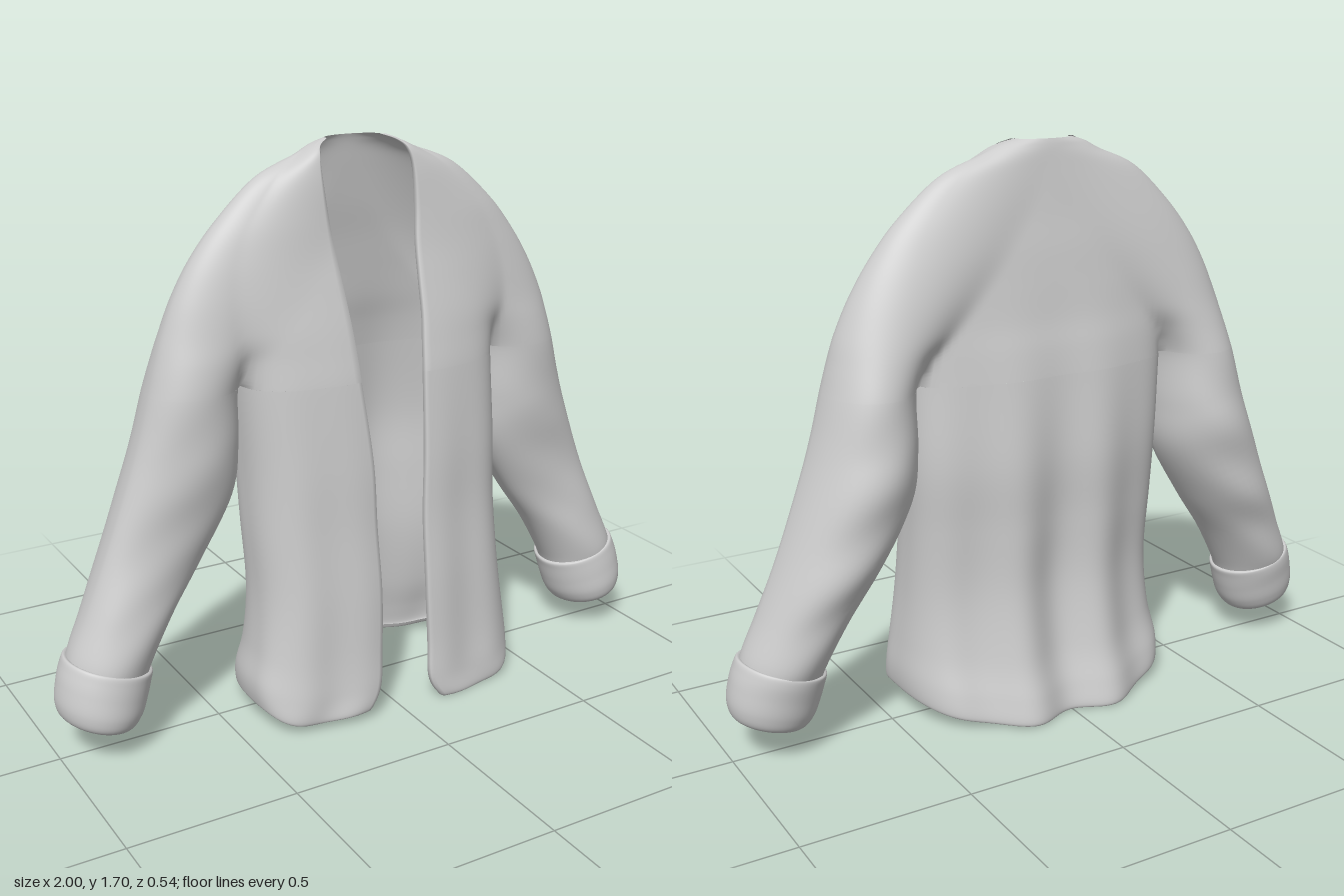
import * as THREE from 'three';

const material = new THREE.MeshStandardMaterial({ color: 0xcccccc, side: THREE.DoubleSide });
const { smoothstep, mapLinear, clamp } = THREE.MathUtils;
const STEPS = 7; // rows per table interval

// Smoothly interpolates a table of cross-section parameters.
function refine(table) {
  const out = [];
  for (let i = 0; i < table.length - 1; i++) {
    const p0 = table[Math.max(i - 1, 0)], p1 = table[i];
    const p2 = table[i + 1], p3 = table[Math.min(i + 2, table.length - 1)];
    for (let k = 0; k < STEPS; k++) {
      const t = k / STEPS;
      out.push(p1.map((b, c) => 0.5 * (2 * b + (p2[c] - p0[c]) * t
        + (2 * p0[c] - 5 * b + 4 * p2[c] - p3[c]) * t * t
        + (3 * b - p0[c] - 3 * p2[c] + p3[c]) * t * t * t)));
    }
  }
  out.push(table[table.length - 1]);
  return out;
}

// Skins a list of cross-sections, each a list of [x, y, z]. The first "head"
// and last "tail" rows only shape the normals, so that joins stay smooth.
function skin(name, sections, closed, head = 0, tail = 0) {
  const n = sections[0].length, cols = closed ? n : n - 1, index = [];
  for (let i = 0; i < sections.length - 1; i++) {
    for (let j = 0; j < cols; j++) {
      const a = i * n + j, b = i * n + (j + 1) % n;
      index.push(a, a + n, b, b, a + n, b + n);
    }
  }
  const geometry = new THREE.BufferGeometry();
  geometry.setAttribute('position', new THREE.Float32BufferAttribute(sections.flat(2), 3));
  geometry.setIndex(index);
  geometry.computeVertexNormals();
  geometry.setIndex(index.slice(head * cols * 6, index.length - tail * cols * 6));
  const mesh = new THREE.Mesh(geometry, material);
  mesh.name = name;
  return mesh;
}

// Yoke, where body and sleeves are one cloth:
// [y, centre x, body half width, front z, back z, half opening,
//  sleeve outer x, sleeve inner x, sleeve front z, sleeve back z]
const YOKE = [
  [1.705, -0.025, 0.09, 0.005, -0.045, 0.085, 0.09, 0, 0.002, -0.01],
  [1.69, -0.025, 0.14, 0.035, -0.05, 0.12, 0.14, 0, 0.01, -0.02],
  [1.665, -0.02, 0.19, 0.058, -0.055, 0.138, 0.195, 0, 0.03, -0.04],
  [1.61, -0.015, 0.28, 0.07, -0.063, 0.145, 0.325, 0, 0.055, -0.055],
  [1.50, -0.01, 0.38, 0.085, -0.08, 0.14, 0.45, 0.05, 0.075, -0.08],
  [1.40, -0.008, 0.43, 0.105, -0.098, 0.13, 0.532, 0.12, 0.085, -0.10],
  [1.30, -0.004, 0.45, 0.13, -0.113, 0.122, 0.592, 0.20, 0.093, -0.118],
  [1.20, 0, 0.45, 0.155, -0.128, 0.115, 0.635, 0.29, 0.10, -0.135],
  [1.12, 0, 0.43, 0.172, -0.145, 0.108, 0.66, 0.37, 0.108, -0.15],
  [1.04, 0, 0.42, 0.187, -0.158, 0.102, 0.682, 0.415, 0.113, -0.168],
  [0.96, 0, 0.42, 0.195, -0.168, 0.097, 0.705, 0.418, 0.113, -0.183],
];

// Body below the armpits, ending in a rolled hem: first six columns as above
const BODY = [
  [1.12, 0, 0.43, 0.172, -0.145, 0.108],
  [1.04, 0, 0.42, 0.187, -0.158, 0.102],
  [0.80, 0.01, 0.415, 0.21, -0.18, 0.085],
  [0.60, 0.01, 0.41, 0.22, -0.175, 0.078],
  [0.40, 0.015, 0.41, 0.235, -0.175, 0.075],
  [0.20, 0.015, 0.425, 0.245, -0.205, 0.08],
  [0.08, 0.01, 0.44, 0.255, -0.24, 0.085],
  [0.015, 0.01, 0.437, 0.26, -0.256, 0.12],
  [0.004, 0.01, 0.427, 0.248, -0.244, 0.14],
  [0.02, 0.01, 0.417, 0.238, -0.234, 0.15],
];

// One half of a section, from the front edge round to the back centre.
function halfSection([y, cx, w, zf, zb, g, W = w, inner = 0, sf = 0, sb = 0], s) {
  const pts = [], N = 44;
  const low = smoothstep(1.4 - y, 0, 1.2);
  const qFront = mapLinear(y, 1.7, 1.04, 2.1, 2.7) - Math.max(0, (1.04 - y) * 0.5);
  const qBack = qFront - 0.45 * low;
  const side = 0.09 * (1 - smoothstep(y, 0, 0.9));
  const hem = 0.06 * (1 - smoothstep(y, 0, 0.4));
  const uneven = s < 0 ? 0.4 * hem : 0;
  const arch = (u, q) => Math.pow(1 - Math.pow(clamp(u, 0, 1), q), 1 / q);
  const sleeve = (x) => Math.sqrt(Math.max(0, 1 - ((2 * x - W - inner) / (W - inner)) ** 2));
  const blend = (a, b) => Math.pow(Math.pow(a, 5) + Math.pow(b, 5), 0.2);
  // turned-in front edge
  const roll = Math.min(0.02, zf * 0.2);
  pts.push([cx + s * (g + 0.018), y + uneven, zf - roll * 1.4], [cx + s * (g + 0.002), y + uneven, zf - roll * 0.6]);
  for (let i = 0; i <= N; i++) {
    const a = (i / N) * Math.PI / 2, start = g + Math.min(0.006, (w - g) / 2);
    const x = start + (W - start) * Math.sin(a);
    const h = arch((x - start) / (w - start), qFront);
    const wave = 0.006 * low * Math.sin((x - g) * 30) * h;
    pts.push([cx + s * x, y + hem * Math.sin(a) ** 6 + uneven * Math.cos(a),
      side + blend((zf - side) * h, sf * sleeve(x)) + wave]);
  }
  for (let i = 1; i <= N; i++) {
    const a = (i / N) * Math.PI / 2, x = W * Math.cos(a), h = arch(x / w, qBack);
    const fold = 0.026 * low * Math.cos(x * Math.PI * 2 / 0.29) * h ** 4;
    pts.push([cx + s * x, y + hem * Math.cos(a) ** 3,
      side + fold - blend((side - zb) * h, -sb * sleeve(x))]);
  }
  return pts;
}

function section(row) {
  return [...halfSection(row, 1), ...halfSection(row, -1).reverse().slice(1)];
}

// Sleeve rings: [outer x, outer y, inner x, inner y, front z, back z]
const SLEEVE = [
  [0.66, 1.12, 0.37, 1.12, 0.108, -0.15],
  [0.682, 1.04, 0.415, 1.04, 0.113, -0.168],
  [0.715, 0.92, 0.418, 0.87, 0.113, -0.19],
  [0.755, 0.80, 0.44, 0.72, 0.105, -0.20],
  [0.83, 0.60, 0.545, 0.535, 0.09, -0.188],
  [0.90, 0.43, 0.645, 0.39, 0.11, -0.16],
  [0.95, 0.32, 0.715, 0.26, 0.118, -0.138],
  [0.965, 0.26, 0.735, 0.20, 0.115, -0.12],
];

// Turned-back cuff, rolled in at the opening
const CUFF = [
  [0.947, 0.30, 0.72, 0.24, 0.112, -0.128],
  [0.964, 0.31, 0.714, 0.232, 0.124, -0.138],
  [0.977, 0.285, 0.72, 0.21, 0.13, -0.138],
  [0.99, 0.245, 0.733, 0.165, 0.136, -0.13],
  [1.00, 0.185, 0.753, 0.115, 0.14, -0.12],
  [0.99, 0.14, 0.785, 0.082, 0.125, -0.10],
  [0.957, 0.122, 0.84, 0.082, 0.075, -0.055],
  [0.94, 0.14, 0.845, 0.115, 0.055, -0.04],
  [0.925, 0.19, 0.83, 0.16, 0.05, -0.04],
];

function ring([ox, oy, ix, iy, zf, zb], s, ripple) {
  const pts = [], N = 44, fade = clamp((1.04 - oy) / 0.15, 0, 1);
  for (let j = 0; j < N; j++) {
    const t = (j / N) * Math.PI * 2, c = Math.cos(t), d = -s * Math.sin(t);
    const k = 1 + ripple * fade * Math.sin(oy * 24 + c * 2.5) * d * d;
    pts.push([
      s * ((ox + ix) / 2 + (ox - ix) / 2 * c),
      (oy + iy) / 2 + (oy - iy) / 2 * c,
      d * k * (d > 0 ? zf : -zb),
    ]);
  }
  return pts;
}

export function createModel() {
  const model = new THREE.Group();
  model.name = 'cardigan';
  model.add(skin('yoke', refine(YOKE).map(section), false, 0, STEPS));
  model.add(skin('body', refine(BODY).map(section), false, STEPS));

  // Matching sleeves and cuffs
  for (const [side, s] of [['left', 1], ['right', -1]]) {
    const arm = new THREE.Group();
    arm.name = side + 'Arm';
    arm.add(skin(side + 'Sleeve', refine(SLEEVE).map((r) => ring(r, s, 0.03)), true, STEPS));
    arm.add(skin(side + 'Cuff', refine(CUFF).map((r) => ring(r, s, 0)), true));
    model.add(arm);
  }
  return model;
}
